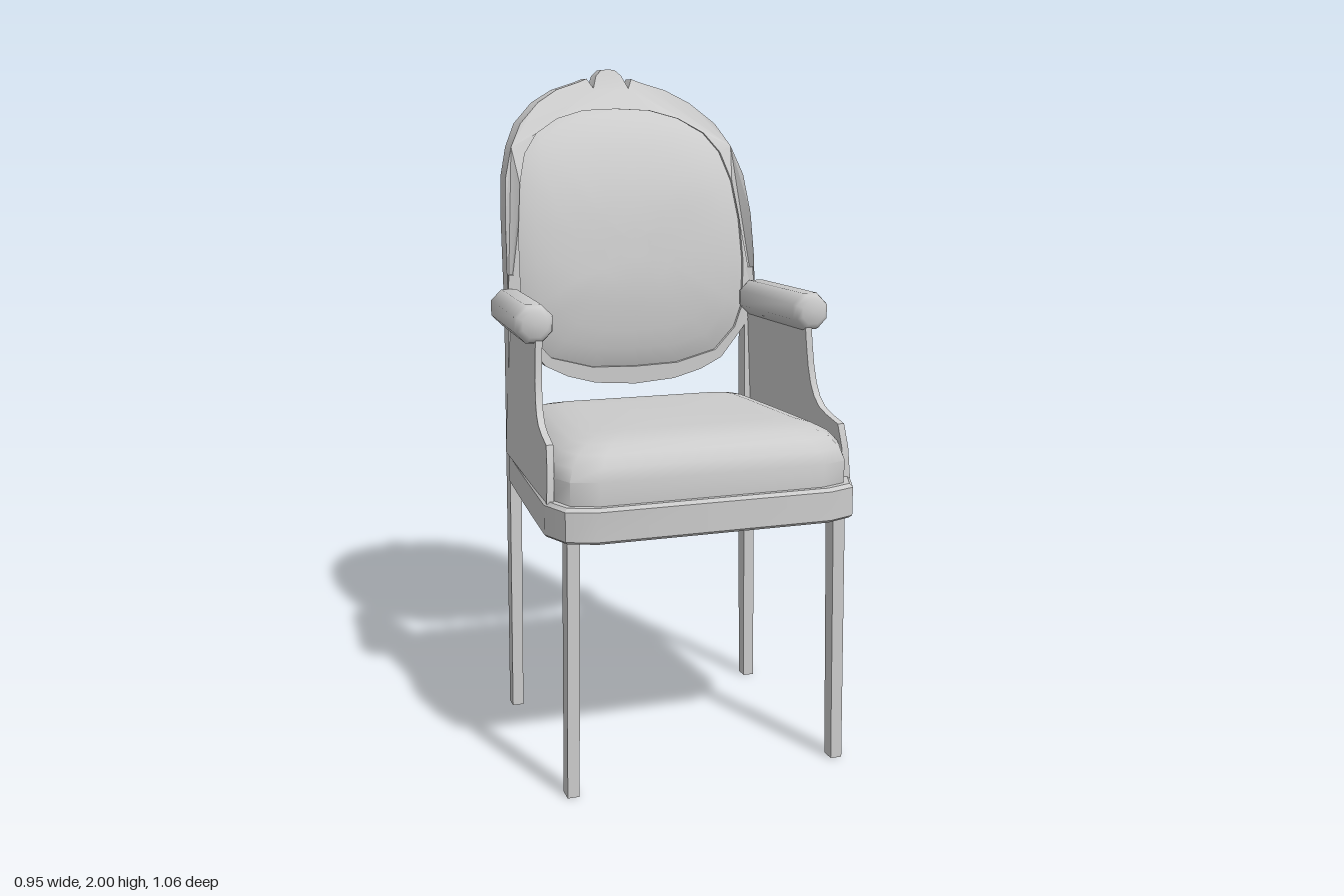
import * as THREE from 'three';
import { toCreasedNormals } from 'three/addons/utils/BufferGeometryUtils.js';

const material = new THREE.MeshStandardMaterial({ color: 0xcccccc });

function part(name, geometry, crease = 0.6) {
  const mesh = new THREE.Mesh(crease ? toCreasedNormals(geometry, crease) : geometry, material);
  mesh.name = name;
  return mesh;
}

// Skin a stack of equal-length loops of [x, y, z] and close both ends
function loft(loops) {
  const n = loops[0].length, pos = loops.flat(2), idx = [];
  const centre = (l) => [0, 1, 2].map((k) => l.reduce((s, p) => s + p[k], 0) / n);
  const last = loops.length - 1, c0 = loops.length * n, c1 = c0 + 1;
  pos.push(...centre(loops[0]), ...centre(loops[last]));
  for (let j = 0; j < n; j++) {
    const k = (j + 1) % n;
    for (let i = 0; i < last; i++) {
      const a = i * n + j, b = i * n + k;
      idx.push(a, b, b + n, a, b + n, a + n);
    }
    idx.push(c0, k, j, c1, last * n + j, last * n + k);
  }
  const g = new THREE.BufferGeometry();
  g.setAttribute('position', new THREE.Float32BufferAttribute(pos, 3));
  g.setIndex(idx);
  g.computeVertexNormals();
  return g;
}

// Mirror a half outline in x; points off the centre line are doubled
const mirrored = (half) => [
  ...half,
  ...half.filter((p) => p[0] > 0).reverse().map(([x, y]) => [-x, y]),
];

// Interpolate a column of a table sorted by its first column
function lookup(table, t, col) {
  for (let i = 1; i < table.length; i++) {
    const a = table[i - 1], b = table[i];
    if (t <= b[0]) return a[col] + (b[col] - a[col]) * Math.max(0, (t - a[0]) / (b[0] - a[0]));
  }
  return table[table.length - 1][col];
}

// Backward sweep of the backrest: height, front z, depth
const sweep = [
  [1.0, -0.2, 0.05], [1.35, -0.2, 0.055], [1.5, -0.225, 0.06], [1.61, -0.25, 0.07],
  [1.7, -0.285, 0.075], [1.8, -0.335, 0.085], [1.87, -0.385, 0.105],
  [1.96, -0.465, 0.065], [2.0, -0.48, 0.05],
];

// Outlines: seat as [x, z], backrest as [x, y]
const seatPlan = mirrored([
  [0, 0.53], [0.34, 0.53], [0.42, 0.5], [0.455, 0.41], [0.435, 0.1], [0.412, -0.2],
  [0.39, -0.25], [0.35, -0.27], [0, -0.27],
]);
const frameOutline = mirrored([
  [0, 1.025], [0.13, 1.035], [0.22, 1.06], [0.29, 1.095], [0.365, 1.19], [0.405, 1.26],
  [0.403, 1.42], [0.4, 1.55], [0.388, 1.67], [0.36, 1.76], [0.32, 1.83], [0.25, 1.895],
  [0.18, 1.935], [0.1, 1.96], [0.075, 1.97], [0.058, 1.94], [0.042, 1.98], [0.022, 1.998], [0, 2.0],
]);
const panelOutline = mirrored([
  [0, 1.08], [0.14, 1.085], [0.27, 1.12], [0.335, 1.19], [0.36, 1.26], [0.365, 1.4],
  [0.36, 1.53], [0.346, 1.65], [0.32, 1.74], [0.275, 1.8], [0.2, 1.845], [0.11, 1.87], [0, 1.875],
]);

// Seat outline at a height, drawn in by an inset
function seatLoop(y, inset) {
  const sx = 1 - inset / 0.455, sz = 1 - inset / 0.4;
  return seatPlan.map(([x, z]) => [x * sx, y, 0.13 + (z - 0.13) * sz]);
}

// Rectangular post through sections [y, x, z, width, depth]
function post(sections, side) {
  return loft(sections.map(([y, x, z, w, d]) =>
    [[-1, 1], [1, 1], [1, -1], [-1, -1]].map(([a, b]) => [side * x + a * w / 2, y, z + b * d / 2])));
}

function backFrame() {
  const shape = new THREE.Shape(frameOutline.map(([x, y]) => new THREE.Vector2(x, y)));
  shape.holes.push(new THREE.Path(panelOutline.map(([x, y]) => new THREE.Vector2(x, y))));
  const g = new THREE.ExtrudeGeometry(shape, { depth: 1, bevelEnabled: false });
  const p = g.attributes.position;
  for (let i = 0; i < p.count; i++) {
    const y = p.getY(i);
    p.setZ(i, lookup(sweep, y, 1) - lookup(sweep, y, 2) * (1 - p.getZ(i)));
  }
  g.computeVertexNormals();
  return g;
}

// Padded panel: rings growing from the back centre and shrinking to the front centre
function backPanel() {
  const sizes = [0.12, 0.3, 0.5, 0.7, 0.85, 0.95, 1.005];
  const ring = (s, face) => panelOutline.map(([x, y]) => {
    const py = 1.47 + (y - 1.47) * s;
    const front = lookup(sweep, py, 1), depth = lookup(sweep, py, 2);
    const puff = 1 - s ** 6;
    return [x * s, py, face > 0 ? front - 0.012 + 0.03 * puff : front - depth + 0.015 - 0.02 * puff];
  });
  return loft([...sizes.map((s) => ring(s, -1)), ...sizes.slice().reverse().map((s) => ring(s, 1))]);
}

// Thin side panel under the arm, leaning inwards
function armPanel(side) {
  const shape = new THREE.Shape();
  shape.moveTo(-0.22, 0.83);
  shape.lineTo(0.42, 0.83);
  shape.lineTo(0.412, 0.92);
  shape.lineTo(0.39, 0.985);
  shape.lineTo(0.32, 1.0);
  shape.bezierCurveTo(0.22, 1.02, 0.21, 1.1, 0.2, 1.26);
  shape.lineTo(-0.22, 1.26);
  const g = new THREE.ExtrudeGeometry(shape, { depth: 0.02, bevelEnabled: false, curveSegments: 6 });
  g.translate(0, 0, -0.01).rotateY(-Math.PI / 2);
  const p = g.attributes.position;
  for (let i = 0; i < p.count; i++) {
    const x = 0.418 + 0.052 * p.getZ(i) - 0.045 * (p.getY(i) - 0.83);
    p.setX(i, p.getX(i) + side * x);
  }
  g.computeVertexNormals();
  return g;
}

// Eight-sided padded arm with rounded ends, running front to back
function armRest() {
  const profile = [
    [0, -0.215], [0.038, -0.215], [0.053, -0.205], [0.059, -0.188],
    [0.059, 0.188], [0.053, 0.205], [0.038, 0.215], [0, 0.215],
  ].map(([r, y]) => new THREE.Vector2(r, y));
  return new THREE.LatheGeometry(profile, 8, Math.PI / 8).rotateX(Math.PI / 2);
}

export function createModel() {
  const chair = new THREE.Group();
  chair.name = 'armchair';

  // Seat
  chair.add(part('seatRail', loft([
    seatLoop(0.735, 0.008), seatLoop(0.743, 0), seatLoop(0.825, 0), seatLoop(0.835, 0.008),
  ])));
  chair.add(part('seatCushion', loft([
    seatLoop(0.83, 0.022), seatLoop(0.9, 0.02), seatLoop(0.935, 0.032), seatLoop(0.965, 0.057),
    seatLoop(0.985, 0.095), seatLoop(0.996, 0.14), seatLoop(1.0, 0.2),
  ]), 0.9));

  // Backrest
  chair.add(part('backFrame', backFrame()));
  chair.add(part('backPanel', backPanel(), 0.9));

  // Legs and arms on both sides
  for (const side of [1, -1]) {
    const name = side > 0 ? 'left' : 'right';
    chair.add(part(name + 'FrontLeg', post([
      [0, 0.4, 0.456, 0.034, 0.044], [0.74, 0.391, 0.45, 0.036, 0.05],
    ], side)));
    chair.add(part(name + 'BackPost', post([
      [0, 0.398, -0.22, 0.034, 0.042], [0.74, 0.391, -0.225, 0.036, 0.05],
      [1.2, 0.388, -0.226, 0.036, 0.051], [1.38, 0.384, -0.233, 0.03, 0.05],
    ], side)));
    chair.add(part(name + 'ArmPanel', armPanel(side)));
    const arm = part(name + 'ArmRest', armRest(), 0.9);
    arm.position.set(side * 0.412, 1.285, -0.006);
    arm.rotation.y = side * 0.045;
    chair.add(arm);
  }
  return chair;
}
